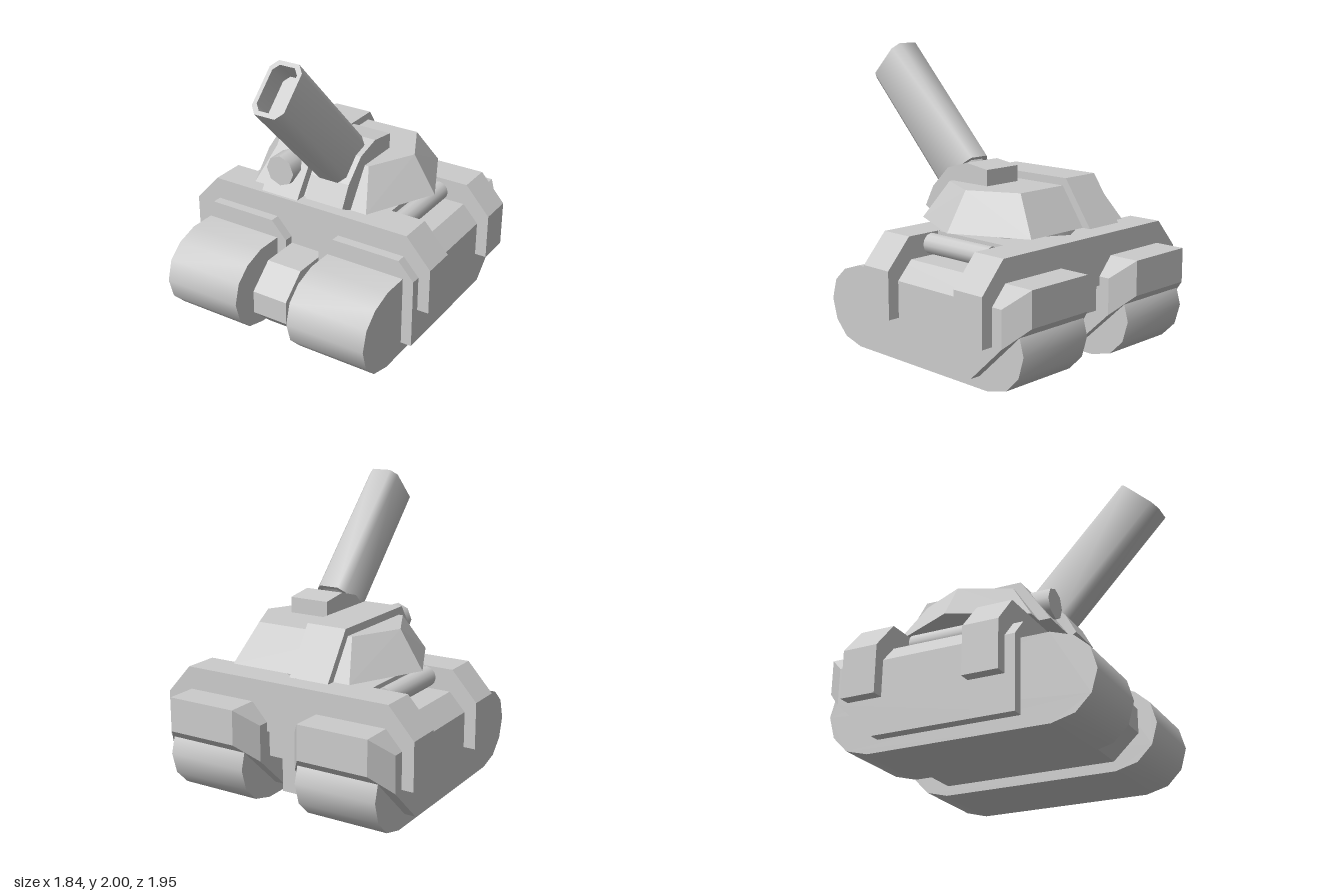
import * as THREE from 'three';
import { toCreasedNormals } from 'three/addons/utils/BufferGeometryUtils.js';
import { ConvexGeometry } from 'three/addons/geometries/ConvexGeometry.js';

const material = new THREE.MeshStandardMaterial({ color: 0xcccccc });
const vectors = (points) => points.map(([x, y]) => new THREE.Vector2(x, y));
const convex = (points) => new ConvexGeometry(points.map((p) => new THREE.Vector3(...p)));

// Extrude a [z, y] side profile across the width from x0 to x1
function sideExtrude(points, x0, x1, crease = 0.1) {
  const geometry = new THREE.ExtrudeGeometry(new THREE.Shape(vectors(points)), { depth: x1 - x0, bevelEnabled: false });
  geometry.rotateY(-Math.PI / 2).translate(x1, 0, 0);
  return toCreasedNormals(geometry, crease);
}

// Elongated octagon used for the barrel and its bore
const octagon = (w, h, cx, cy) => [
  [w, -h + cy], [w, h - cy], [w - cx, h], [-w + cx, h],
  [-w, h - cy], [-w, -h + cy], [-w + cx, -h], [w - cx, -h],
];

export function createModel() {
  const model = new THREE.Group();
  const add = (name, geometry, parent = model) => {
    const mesh = new THREE.Mesh(geometry, material);
    mesh.name = name;
    parent.add(mesh);
    return mesh;
  };

  // Tracks with rounded ends
  const trackProfile = [
    [0.56, 0], [0.71, 0.04], [0.81, 0.14], [0.85, 0.28], [0.81, 0.42], [0.71, 0.51], [0.56, 0.56],
    [-0.65, 0.56], [-0.8, 0.51], [-0.9, 0.42], [-0.94, 0.28], [-0.9, 0.14], [-0.8, 0.04], [-0.65, 0],
  ];

  for (const side of [1, -1]) {
    const label = side > 0 ? 'left' : 'right';
    const span = side > 0 ? [0.2, 0.765] : [-0.765, -0.2];
    add(label + 'Track', sideExtrude(trackProfile, ...span, 0.7));

    // Fender with chamfered top edges, chamfered rear corners and a rising tail
    const points = [];
    for (const [x, y] of [[0.84, 0.08], [0.84, 0.56], [0.73, 0.68], [0.24, 0.68], [0.13, 0.56], [0.13, 0.08]])
      points.push([side * x, y, 0.375]);
    for (const x of [0.84, 0.13])
      points.push([side * x, 0.08, -0.58], [side * x, 0.32, -0.835], [side * x, 0.56, -0.835]);
    for (const x of [0.73, 0.24])
      points.push([side * x, 0.45, -0.972], [side * x, 0.68, -0.972]);
    add(label + 'Fender', convex(points));

    // Axle joining the track to the central beam
    add(label + 'Axle', new THREE.CylinderGeometry(0.12, 0.12, 0.14, 16)
      .rotateZ(Math.PI / 2).translate(side * 0.17, 0.28, 0.46));

    // Cylinder lying on the fender between the two bands
    add(label + 'Tank', new THREE.CylinderGeometry(0.068, 0.068, 0.56, 12)
      .rotateX(Math.PI / 2).translate(side * 0.558, 0.757, -0.2));
  }

  // Central beam between the tracks
  add('centralBeam', sideExtrude([
    [0.58, 0.04], [0.75, 0.2], [0.75, 0.36], [0.58, 0.51], [-0.6, 0.51], [-0.6, 0.04],
  ], -0.128, 0.128));

  // Hull body and the two arched bands that wrap over the fenders
  add('hull', new THREE.BoxGeometry(1.0, 0.5, 1.02).translate(0, 0.579, -0.225));
  const bandShape = new THREE.Shape(vectors([
    [0.92, 0.32], [0.92, 0.635], [0.745, 0.83], [-0.745, 0.83], [-0.92, 0.635], [-0.92, 0.32],
    [-0.82, 0.32], [-0.82, 0.5], [0.82, 0.5], [0.82, 0.32],
  ]));
  for (const [name, back] of [['frontBand', 0.07], ['rearBand', -0.76]]) {
    const band = new THREE.ExtrudeGeometry(bandShape, { depth: 0.238, bevelEnabled: false });
    add(name, band.translate(0, 0, back));
  }

  // Turret
  const turret = new THREE.Group();
  turret.name = 'turret';
  model.add(turret);
  add('turretRing', new THREE.CylinderGeometry(0.428, 0.428, 0.08, 6).translate(0, 0.85, -0.197), turret);

  const shell = [];
  for (const s of [1, -1]) {
    shell.push([s * 0.67, 0.88, -0.2], [s * 0.435, 0.88, 0.285], [s * 0.435, 0.88, -0.69]);
    shell.push([s * 0.51, 1.13, -0.2], [s * 0.35, 1.13, 0.117], [s * 0.35, 1.13, -0.52]);
  }
  add('turretShell', convex(shell), turret);

  // Raised sight housing and its lens
  add('sightHousing', sideExtrude([[0.365, 0.88], [0.155, 1.18], [-0.545, 1.18], [-0.75, 0.88]], -0.32, -0.04), turret);
  add('sight', new THREE.CylinderGeometry(0.105, 0.105, 0.24, 8)
    .rotateX(Math.PI / 2).translate(-0.19, 1.045, 0.22), turret);

  // Rounded gun mantlet
  add('mantlet', sideExtrude([
    [0.29, 0.882], [0.385, 0.93], [0.31, 1.07], [0.165, 1.21], [-0.01, 1.26], [-0.2, 1.235], [-0.2, 0.882],
  ], 0.04, 0.32), turret);

  // Raised barrel with a shallow bore, its muzzle at the local origin
  const gun = new THREE.Group();
  gun.name = 'gun';
  gun.position.set(0.17, 1.8725, 0.85);
  gun.rotation.x = -THREE.MathUtils.degToRad(45.8);
  turret.add(gun);
  const outer = octagon(0.112, 0.178, 0.042, 0.05);
  const inner = octagon(0.086, 0.15, 0.034, 0.04);
  const muzzleShape = new THREE.Shape(vectors(outer));
  muzzleShape.holes.push(new THREE.Path(vectors(inner)));
  const boreDepth = 0.15;
  const barrel = new THREE.ExtrudeGeometry(muzzleShape, { depth: 1.0, bevelEnabled: false }).translate(0, 0, -1.0);
  add('barrel', toCreasedNormals(barrel, 0.95), gun);
  add('boreFloor', new THREE.ShapeGeometry(new THREE.Shape(vectors(inner))).translate(0, 0, -boreDepth), gun);

  return model;
}
